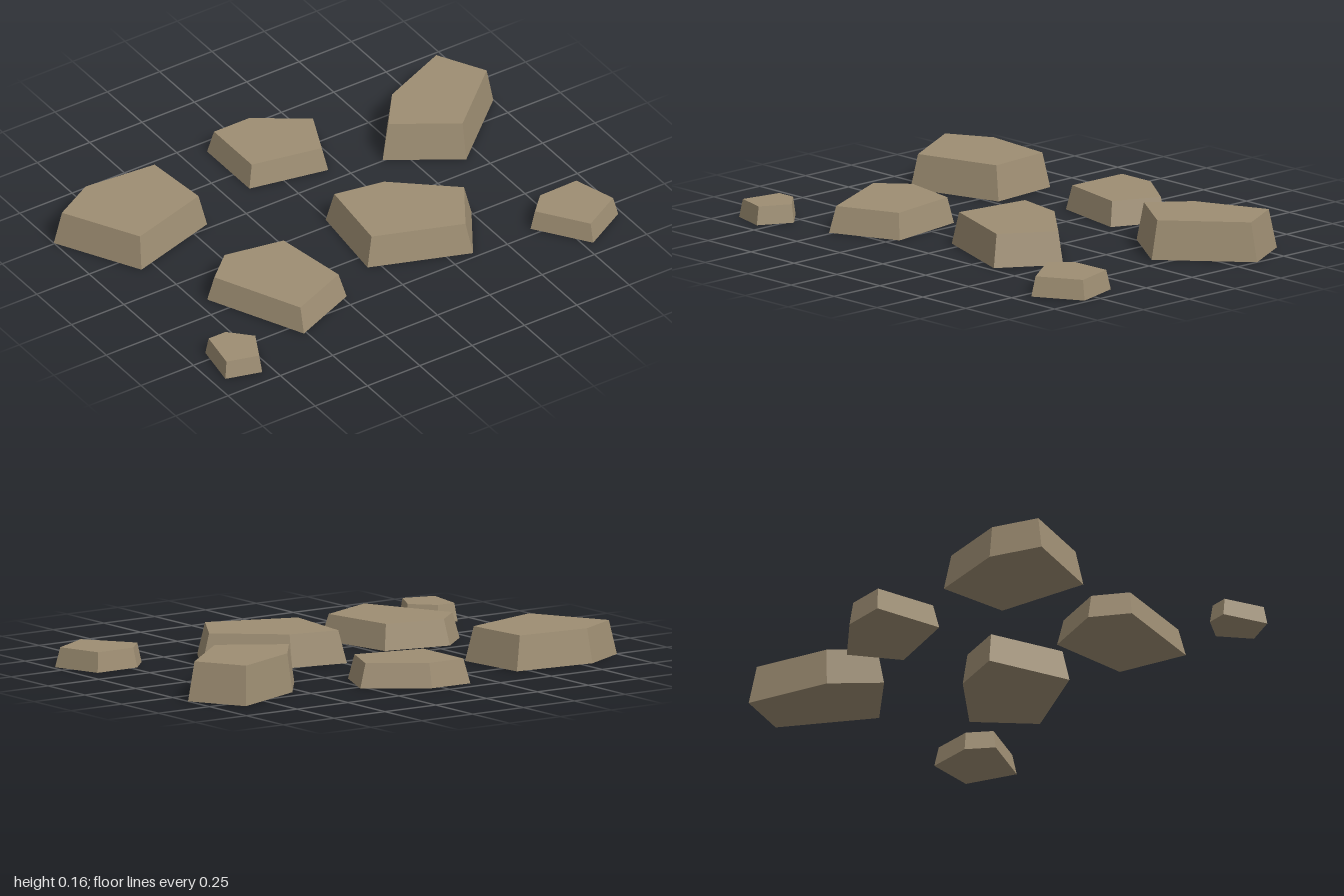
import * as THREE from 'three';

// Each stone: height and its five ground corners as [x, z], running back-left to right to front
const STONES = [
  { name: 'backLeftStone', height: 0.14, corners: [[-1, -0.505], [-0.8, -0.615], [-0.45, -0.585], [-0.42, -0.275], [-0.81, -0.16]] },
  { name: 'backMiddleStone', height: 0.1, corners: [[-0.145, -0.69], [0.043, -0.69], [0.28, -0.53], [0.187, -0.318], [-0.145, -0.385]] },
  { name: 'backRightStone', height: 0.158, corners: [[0.405, -0.255], [0.545, -0.435], [0.877, -0.578], [1, -0.355], [0.685, -0.075]] },
  { name: 'middleLeftStone', height: 0.105, corners: [[-0.705, 0.155], [-0.572, 0.037], [-0.29, 0.09], [-0.23, 0.443], [-0.513, 0.562]] },
  { name: 'centreStone', height: 0.132, corners: [[-0.01, -0.04], [0.228, 0.003], [0.503, 0.237], [0.353, 0.475], [-0.052, 0.325]] },
  { name: 'frontRightStone', height: 0.08, corners: [[0.635, 0.463], [0.722, 0.373], [0.92, 0.368], [0.983, 0.57], [0.79, 0.68]] },
  { name: 'frontLeftStone', height: 0.074, corners: [[-0.913, 0.455], [-0.822, 0.455], [-0.727, 0.553], [-0.797, 0.69], [-0.945, 0.648]] },
];
const TOP_SCALE = 0.89; // the top face is a shrunken copy of the base

// Closed, tapered prism with flat faces
function stoneGeometry(corners, height) {
  const n = corners.length;
  const cx = corners.reduce((sum, c) => sum + c[0], 0) / n;
  const cz = corners.reduce((sum, c) => sum + c[1], 0) / n;
  const ring = (scale, y) => corners.map(([x, z]) => [cx + (x - cx) * scale, y, cz + (z - cz) * scale]);
  const base = ring(1, 0);
  const top = ring(TOP_SCALE, height);
  const points = [];
  for (let i = 0; i < n; i++) {
    const j = (i + 1) % n;
    points.push(base[j], base[i], top[i], base[j], top[i], top[j]); // side
    points.push([cx, height, cz], top[j], top[i]); // top
    points.push([cx, 0, cz], base[i], base[j]); // underside
  }
  const geometry = new THREE.BufferGeometry();
  geometry.setAttribute('position', new THREE.Float32BufferAttribute(points.flat(), 3));
  geometry.computeVertexNormals();
  return geometry;
}

export function createModel() {
  const group = new THREE.Group();
  group.name = 'steppingStones';
  const stone = new THREE.MeshStandardMaterial({ color: 0x9e8e73, flatShading: true });
  stone.name = 'sandstone';
  for (const { name, height, corners } of STONES) {
    const mesh = new THREE.Mesh(stoneGeometry(corners, height), stone);
    mesh.name = name;
    group.add(mesh);
  }
  return group;
}
